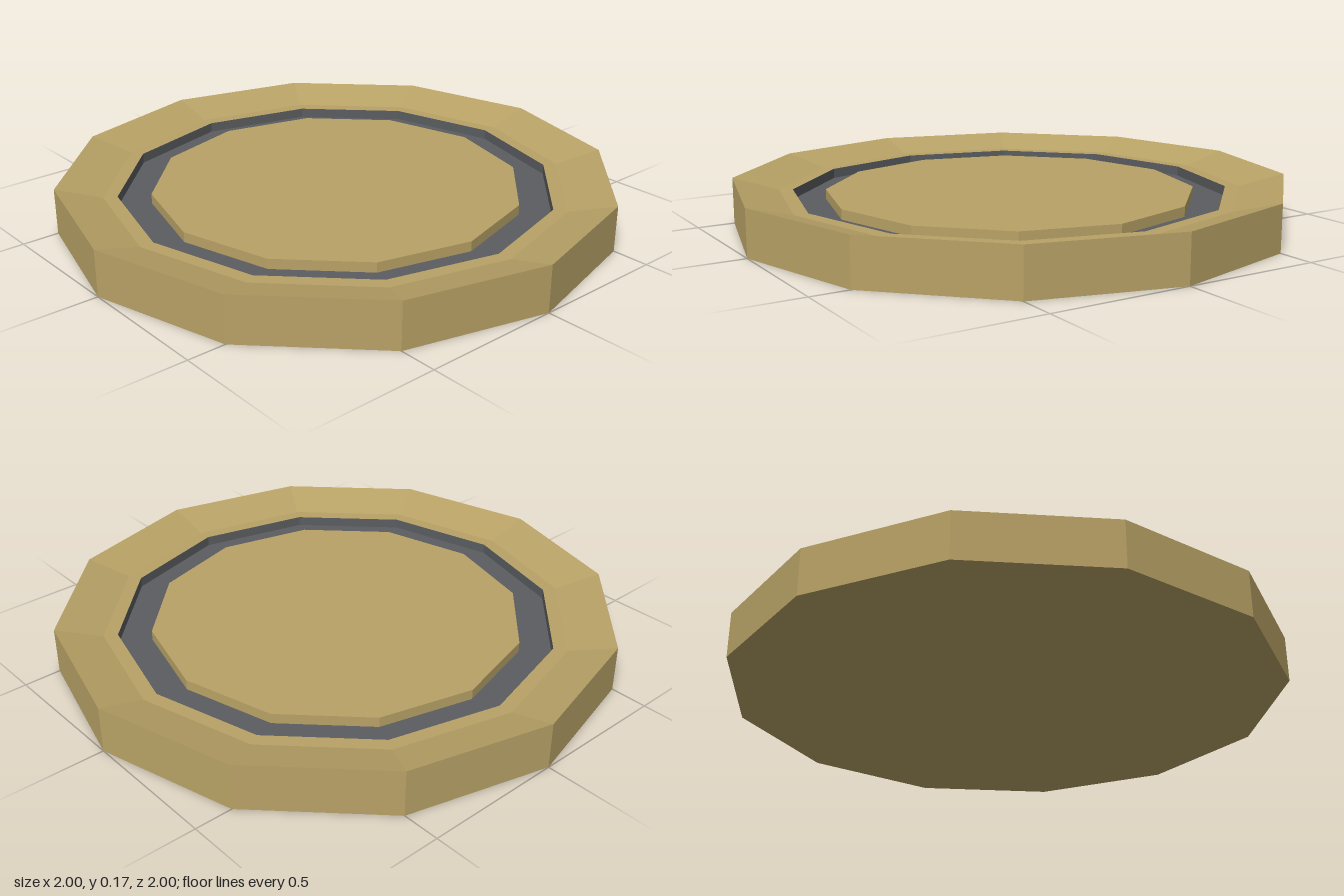
import * as THREE from 'three';

const SIDES = 12;
const RIM_Y = 0.167, LEDGE_Y = 0.123, GROOVE_Y = 0.087;
const OUTER_R = 1, LEDGE_R = 0.835, GROOVE_OUTER_R = 0.785, DISC_R = 0.667;

export function createModel() {
  const sand = new THREE.MeshStandardMaterial({ color: 0xb8a266, flatShading: true });
  sand.name = 'sand';
  const slate = new THREE.MeshStandardMaterial({ color: 0x5a5d60, flatShading: true });
  slate.name = 'slate';

  const model = new THREE.Group();
  model.name = 'roundPlatform';

  // Revolve a [radius, height] profile into a twelve-sided ring
  const addRing = (name, material, profile) => {
    const points = profile.map(([r, y]) => new THREE.Vector2(r, y));
    const mesh = new THREE.Mesh(new THREE.LatheGeometry(points, SIDES), material);
    mesh.name = name;
    model.add(mesh);
  };

  // Underside, outer wall, inward-sloping rim and narrow flat ledge
  addRing('body', sand, [
    [0, 0], [OUTER_R, 0], [OUTER_R, RIM_Y], [LEDGE_R, LEDGE_Y], [GROOVE_OUTER_R, LEDGE_Y],
  ]);

  // Sunken channel: outer wall and floor
  addRing('groove', slate, [
    [GROOVE_OUTER_R, LEDGE_Y], [GROOVE_OUTER_R, GROOVE_Y], [DISC_R, GROOVE_Y],
  ]);

  // Raised centre with its own side wall
  addRing('centreDisc', sand, [
    [DISC_R, GROOVE_Y], [DISC_R, LEDGE_Y], [0, LEDGE_Y],
  ]);

  return model;
}
